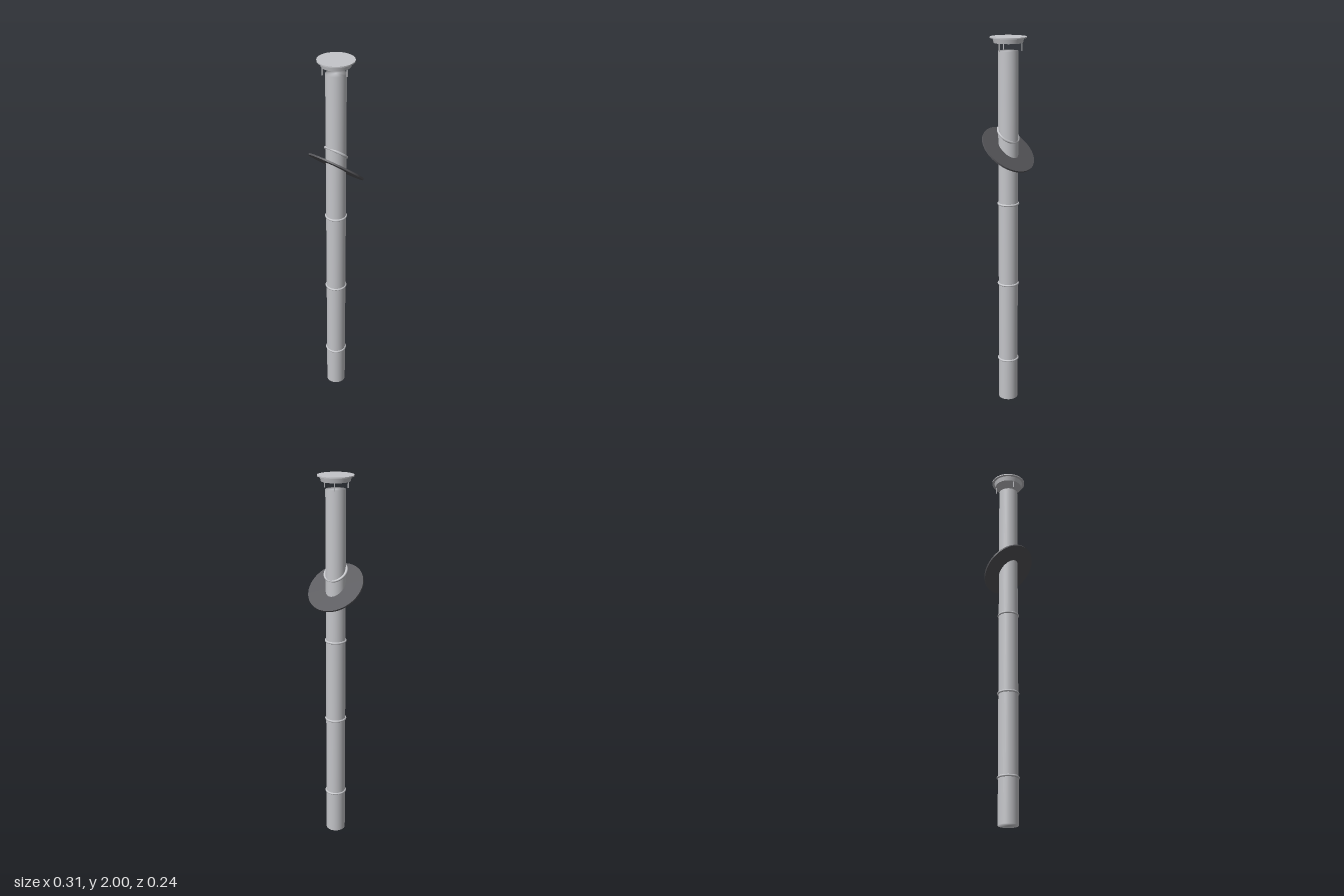
import * as THREE from 'three';
import { mergeVertices } from 'three/addons/utils/BufferGeometryUtils.js';

export function createModel() {
  const steel = new THREE.MeshStandardMaterial({ color: 0xc4c5c9 });
  steel.name = 'brushed steel';
  const rubber = new THREE.MeshStandardMaterial({ color: 0x555559 });
  rubber.name = 'dark flashing';

  const model = new THREE.Group();
  model.name = 'chimneyFlue';
  const tilt = -40 * Math.PI / 180; // roof pitch

  function add(name, geometry, material, x, y, z) {
    const mesh = new THREE.Mesh(geometry, material);
    mesh.name = name;
    mesh.position.set(x, y, z);
    model.add(mesh);
    return mesh;
  }

  // Closed flue pipe with normals blended across its end rims
  const raw = new THREE.CylinderGeometry(0.052, 0.052, 1.93, 48);
  raw.deleteAttribute('normal');
  raw.deleteAttribute('uv');
  const pipe = mergeVertices(raw, 1e-5);
  pipe.computeVertexNormals();
  add('fluePipe', pipe, steel, 0, 0.965, 0);

  // Joint bands
  const band = new THREE.TorusGeometry(0.052, 0.006, 10, 48).rotateX(Math.PI / 2);
  [0.238, 0.685, 1.135].forEach((y, i) => add('jointBand' + (i + 1), band, steel, 0, y, 0));

  // Roof flashing and storm collar, both following the roof pitch
  add('roofFlashing', new THREE.CylinderGeometry(0.153, 0.153, 0.009, 64), rubber, 0, 1.425, 0)
    .rotation.x = tilt;
  const collar = new THREE.TorusGeometry(0.06, 0.007, 10, 48).rotateX(Math.PI / 2);
  add('stormCollar', collar, steel, 0, 1.507, 0).rotation.x = tilt;

  // Three posts carrying the rain cap
  const post = new THREE.CylinderGeometry(0.003, 0.003, 0.045, 8);
  for (let i = 0; i < 3; i++) {
    const a = i * Math.PI * 2 / 3;
    add('capPost' + (i + 1), post, steel, 0.069 * Math.cos(a), 1.9525, 0.069 * Math.sin(a));
  }

  // Rain cap: tapered drum under a wide thin lid
  add('capDrum', new THREE.CylinderGeometry(0.08, 0.074, 0.025, 48), steel, 0, 1.9815, 0);
  add('capLid', new THREE.CylinderGeometry(0.093, 0.093, 0.006, 64), steel, 0, 1.997, 0);

  return model;
}
